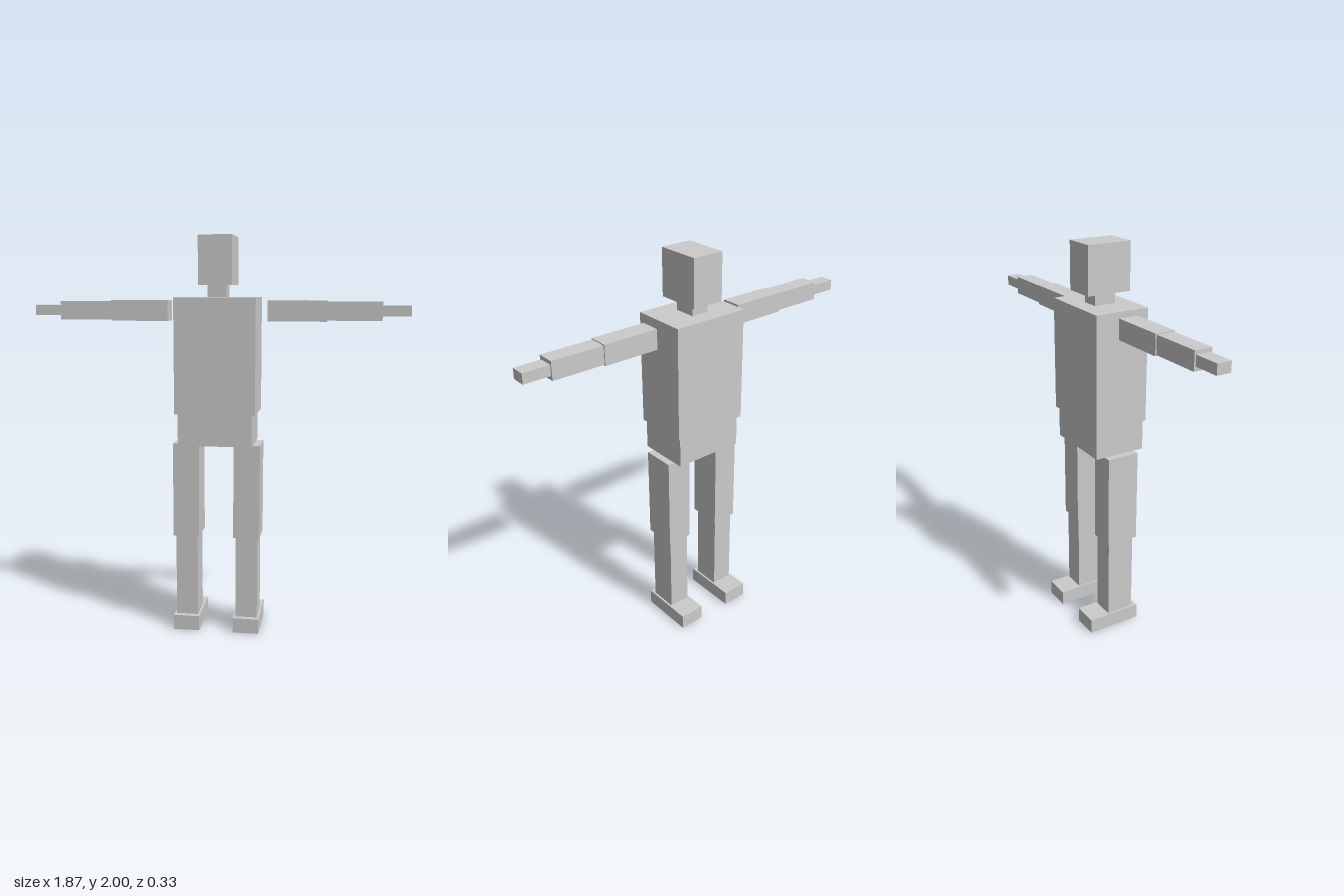
import * as THREE from 'three';

const material = new THREE.MeshStandardMaterial({ color: 0xcccccc, flatShading: true });

// Box spanning the given [min, max] range on each axis
function block(name, [x0, x1], [y0, y1], [z0, z1]) {
  const mesh = new THREE.Mesh(new THREE.BoxGeometry(x1 - x0, y1 - y0, z1 - z0), material);
  mesh.position.set((x0 + x1) / 2, (y0 + y1) / 2, (z0 + z1) / 2);
  mesh.name = name;
  return mesh;
}

export function createModel() {
  const figure = new THREE.Group();
  figure.name = 'blockFigure';

  // Head and trunk, on the centre line
  figure.add(
    block('head', [-0.083, 0.083], [1.764, 2], [-0.094, 0.137]),
    block('neck', [-0.046, 0.046], [1.705, 1.764], [-0.036, 0.076]),
    block('torso', [-0.2, 0.2], [1.135, 1.705], [-0.121, 0.163]),
    block('pelvis', [-0.184, 0.184], [0.979, 1.135], [-0.11, 0.158])
  );

  // Limbs as [name, x range, y range, z range] for the left side
  const limbs = [
    ['UpperArm', [0.247, 0.534], [1.589, 1.69], [-0.029, 0.072]],
    ['Forearm', [0.534, 0.798], [1.594, 1.685], [-0.023, 0.067]],
    ['Hand', [0.798, 0.933], [1.615, 1.666], [-0.015, 0.058]],
    ['Thigh', [0.0875, 0.22], [0.501, 0.979], [-0.062, 0.107]],
    ['Shin', [0.098, 0.209], [0.077, 0.501], [-0.052, 0.092]],
    ['Foot', [0.0875, 0.22], [0, 0.077], [-0.163, 0.121]],
  ];
  for (const [name, [x0, x1], y, z] of limbs) {
    figure.add(block('left' + name, [x0, x1], y, z));
    figure.add(block('right' + name, [-x1, -x0], y, z));
  }

  return figure;
}
